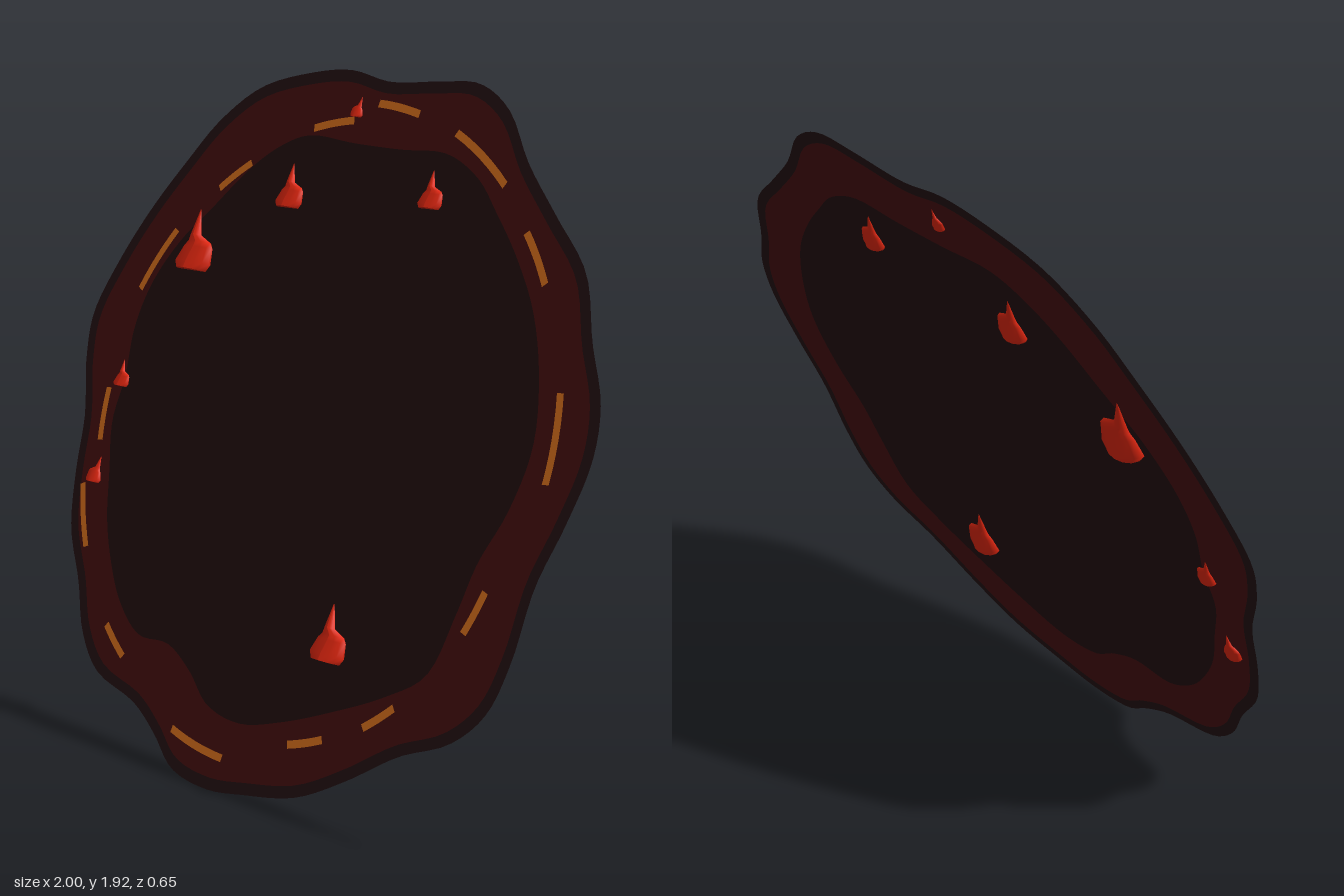
import * as THREE from 'three';

const MID = 0.965, TILT = Math.atan(0.336), COS = Math.cos(TILT);

const mat = (name, color, side = THREE.DoubleSide) => {
  const m = new THREE.MeshStandardMaterial({ color, side });
  m.name = name;
  return m;
};

// Upright [x, height] to a point in the tilted disc plane
const flat = ([x, y]) => new THREE.Vector2(x, (y - MID) / COS);

// Wavy outer edge, clockwise from the top
const OUTER = [
  [-.15, 1.935], [.01, 1.91], [.2, 1.92], [.34, 1.92], [.46, 1.86], [.57, 1.73], [.70, 1.61], [.84, 1.48],
  [.91, 1.32], [.98, 1.18], [.995, 1.05], [.96, .89], [.91, .73], [.89, .54], [.85, .41],
  [.76, .32], [.60, .25], [.44, .15], [.28, .07], [.09, .03], [-.06, .01], [-.21, .03],
  [-.31, .10], [-.42, .16], [-.61, .21], [-.71, .30], [-.78, .43], [-.87, .57], [-.91, .73],
  [-.93, .89], [-.985, 1.05], [-1, 1.18], [-.94, 1.34], [-.85, 1.50], [-.74, 1.65],
  [-.64, 1.77], [-.5, 1.87], [-.31, 1.92],
];

// Edge of the dark middle
const INNER = [
  [-.26, 1.75], [-.07, 1.74], [.11, 1.735], [.28, 1.735], [.41, 1.68], [.5, 1.6], [.6, 1.5], [.7, 1.37],
  [.77, 1.21], [.8, 1.05], [.77, .89], [.71, .75], [.68, .62], [.63, .46], [.51, .38],
  [.33, .3], [.17, .24], [.01, .2], [-.13, .22], [-.23, .29], [-.34, .34], [-.47, .34],
  [-.58, .41], [-.66, .51], [-.72, .62], [-.76, .75], [-.8, .89], [-.79, 1.02], [-.8, 1.16],
  [-.77, 1.29], [-.69, 1.42], [-.58, 1.53], [-.47, 1.64], [-.37, 1.71],
];

// Glowing cracks, from end to end
const CRACKS = [
  [[-.24, 1.77], [-.09, 1.80]], [[-.01, 1.85], [.15, 1.83]], [[.30, 1.79], [.51, 1.67]],
  [[.62, 1.56], [.72, 1.44]], [[.85, 1.19], [.87, .97]], [[.76, .69], [.72, .58]],
  [[.55, .36], [.46, .29]], [[.33, .23], [.21, .19]], [[-.02, .10], [-.24, .13]],
  [[-.51, .27], [-.61, .34]], [[-.78, .53], [-.86, .70]], [[-.83, .83], [-.845, .98]],
  [[-.81, 1.27], [-.71, 1.45]], [[-.57, 1.58], [-.46, 1.66]],
];

// Embers: x, height of the base, length, mirrored
const EMBERS = [
  [-.61, 1.345, .17, false], [-.275, 1.55, .12, false], [.26, 1.59, .1, false],
  [-.80, .99, .075, false], [-.82, .71, .075, true], [.275, .42, .145, false], [-.09, 1.81, .055, true],
];

// Smooth closed outline
function outline(points) {
  const curve = new THREE.CatmullRomCurve3(
    points.map(p => { const v = flat(p); return new THREE.Vector3(v.x, v.y, 0); }), true);
  return curve.getPoints(160).slice(0, -1).map(v => new THREE.Vector2(v.x, v.y));
}

function plate(edge, hole) {
  const shape = new THREE.Shape(edge);
  if (hole) shape.holes.push(new THREE.Path(hole));
  return new THREE.ShapeGeometry(shape);
}

// Thin curved strip, bulging away from the disc centre
function crackGeometry([p, q]) {
  const a = flat(p), b = flat(q), length = a.distanceTo(b);
  const mid = a.clone().add(b).multiplyScalar(0.5);
  const out = new THREE.Vector2(b.y - a.y, a.x - b.x).normalize();
  if (out.dot(mid) < 0) out.negate();
  const sag = length * length / 7;
  const side = offset => Array.from({ length: 7 }, (_, i) => {
    const t = i / 6;
    return a.clone().lerp(b, t).addScaledVector(out, sag * 4 * t * (1 - t) + offset);
  });
  return plate([...side(0.011), ...side(-0.011).reverse()]);
}

// Hooked shard: rows of height, left edge, right edge
function emberGeometry() {
  const rows = [
    [0, -.32, .34], [.12, -.41, .42], [.38, -.30, .38], [.47, -.22, .31], [.58, -.19, .04], [1, -.13, -.11],
  ];
  const geo = new THREE.CylinderGeometry(1, 1, 1, 14, rows.length - 1);
  const pos = geo.attributes.position;
  for (let i = 0; i < pos.count; i++) {
    const [h, l, r] = rows[Math.round((pos.getY(i) + 0.5) * (rows.length - 1))];
    pos.setXYZ(i, (l + r) / 2 + pos.getX(i) * (r - l) / 2, h, pos.getZ(i) * 0.21 * (1.03 - h));
  }
  geo.computeVertexNormals();
  return geo;
}

export function createModel() {
  const model = new THREE.Group();
  model.name = 'emberDisc';
  const disc = new THREE.Group();
  disc.name = 'tiltedDisc';
  disc.position.y = MID;
  disc.rotation.x = -TILT;
  model.add(disc);

  const add = (name, geometry, material) => {
    const mesh = new THREE.Mesh(geometry, material);
    mesh.name = name;
    disc.add(mesh);
    return mesh;
  };

  // Flat nested surfaces
  const outer = outline(OUTER), inner = outline(INNER);
  const band = outer.map(v => v.clone().multiplyScalar(0.967));
  add('charredRim', plate(outer, band), mat('charred rim', 0x251113));
  add('redBand', plate(band, inner), mat('deep red', 0x4a0e10));
  add('darkCentre', plate(inner), mat('dark centre', 0x240e0f));

  // Glowing cracks just above the band
  const glow = mat('orange glow', 0xec7a20);
  CRACKS.forEach(c => { add('glowingCrack', crackGeometry(c), glow).position.z = 0.004; });

  // Embers half sunk in the disc
  const shard = emberGeometry(), red = mat('ember red', 0xe2260f, THREE.FrontSide);
  EMBERS.forEach(([x, y, length, mirrored]) => {
    const ember = add('ember', shard, red);
    const p = flat([x, y]);
    ember.position.set(p.x, p.y, 0);
    ember.scale.setScalar(length / COS);
    if (mirrored) ember.rotation.y = Math.PI;
  });
  return model;
}
